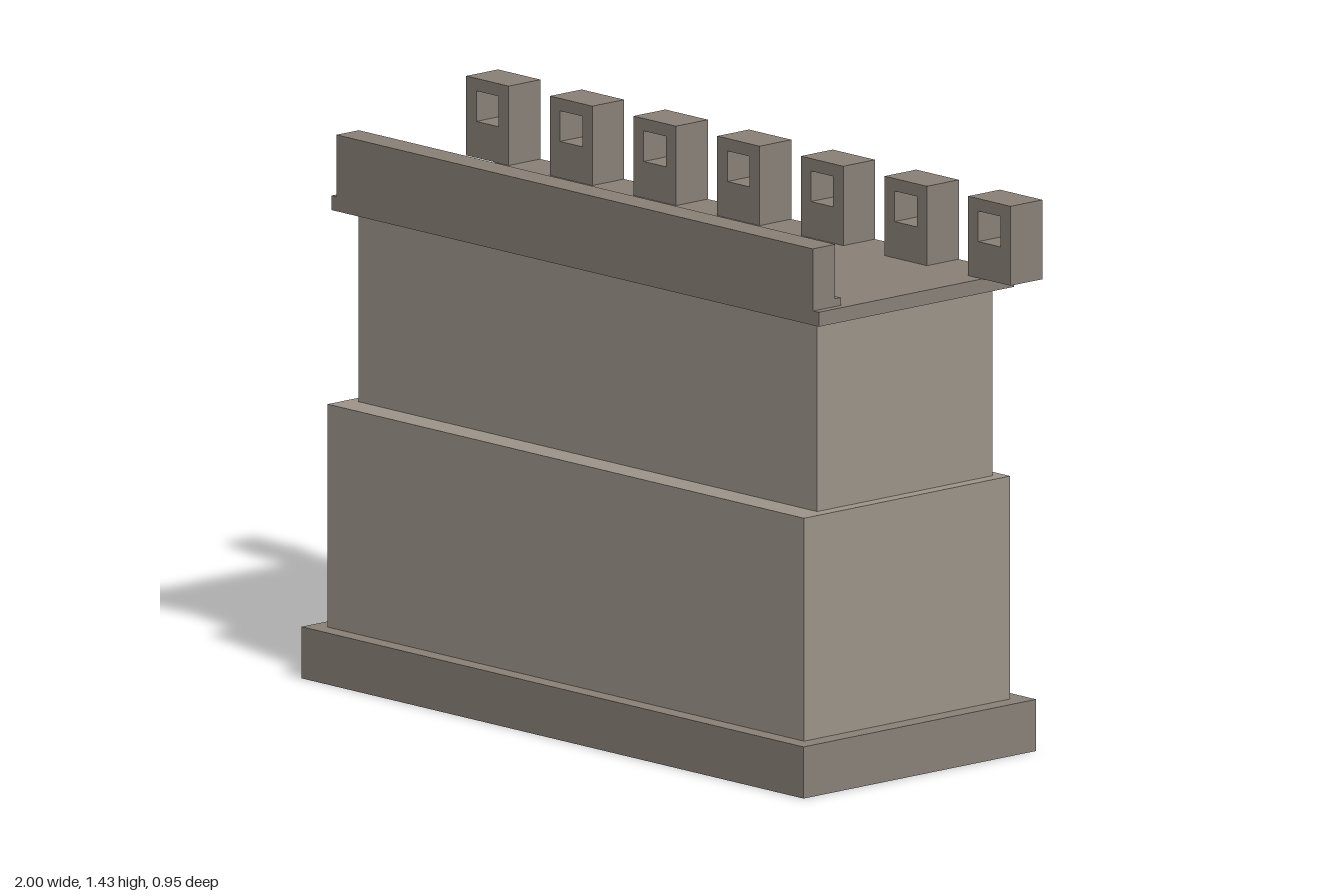
import * as THREE from 'three';

const wallMat = new THREE.MeshStandardMaterial({ color: 0x9d958a, flatShading: true });
const trimMat = new THREE.MeshStandardMaterial({ color: 0x8a8178, flatShading: true });
const spoutMat = new THREE.MeshStandardMaterial({ color: 0xa3a7a1, flatShading: true });

// Box given by half width and its y and z ranges, centred on x = 0
function block(name, halfX, [y0, y1], [z0, z1], material) {
  const mesh = new THREE.Mesh(new THREE.BoxGeometry(halfX * 2, y1 - y0, z1 - z0), material);
  mesh.position.set(0, (y0 + y1) / 2, (z0 + z1) / 2);
  mesh.name = name;
  return mesh;
}

function rectPoints(x0, x1, y0, y1) {
  return [[x0, y0], [x1, y0], [x1, y1], [x0, y1]].map(([x, y]) => new THREE.Vector2(x, y));
}

export function createModel() {
  const wall = new THREE.Group();
  wall.name = 'battlementWall';

  // Stepped wall body and walkway
  wall.add(
    block('plinth', 0.922, [0, 0.132], [-0.315, 0.475], trimMat),
    block('lowerWall', 0.875, [0.132, 0.702], [-0.27, 0.43], wallMat),
    block('upperWall', 0.842, [0.702, 1.19], [-0.24, 0.355], wallMat),
    block('walkway', 0.895, [1.19, 1.227], [-0.264, 0.398], trimMat),
  );

  // Low front parapet with a small step along its inner foot
  wall.add(
    block('parapet', 0.875, [1.227, 1.386], [0.324, 0.4], trimMat),
    block('parapetStep', 0.875, [1.227, 1.247], [0.305, 0.324], trimMat),
  );

  // Row of merlons, each pierced by a square loophole
  const shape = new THREE.Shape(rectPoints(-0.078, 0.078, 0, 0.203));
  shape.holes.push(new THREE.Path(rectPoints(-0.041, 0.041, 0.093, 0.171).reverse()));
  const merlonGeo = new THREE.ExtrudeGeometry(shape, { depth: 0.108, bevelEnabled: false });
  const merlons = new THREE.Group();
  merlons.name = 'merlons';
  for (let i = -3; i <= 3; i++) {
    const merlon = new THREE.Mesh(merlonGeo, trimMat);
    merlon.name = 'merlon';
    merlon.position.set(i * 0.3073, 1.227, -0.264);
    merlons.add(merlon);
  }
  wall.add(merlons);

  // Sloping drain spouts at the back
  const spoutGeo = new THREE.BoxGeometry(0.08, 0.05, 0.22);
  for (const side of [-1, 1]) {
    const spout = new THREE.Mesh(spoutGeo, spoutMat);
    spout.name = side > 0 ? 'leftSpout' : 'rightSpout';
    spout.position.set(side * 0.438, 1.135, -0.358);
    spout.rotation.x = -0.3;
    wall.add(spout);
  }

  return wall;
}
